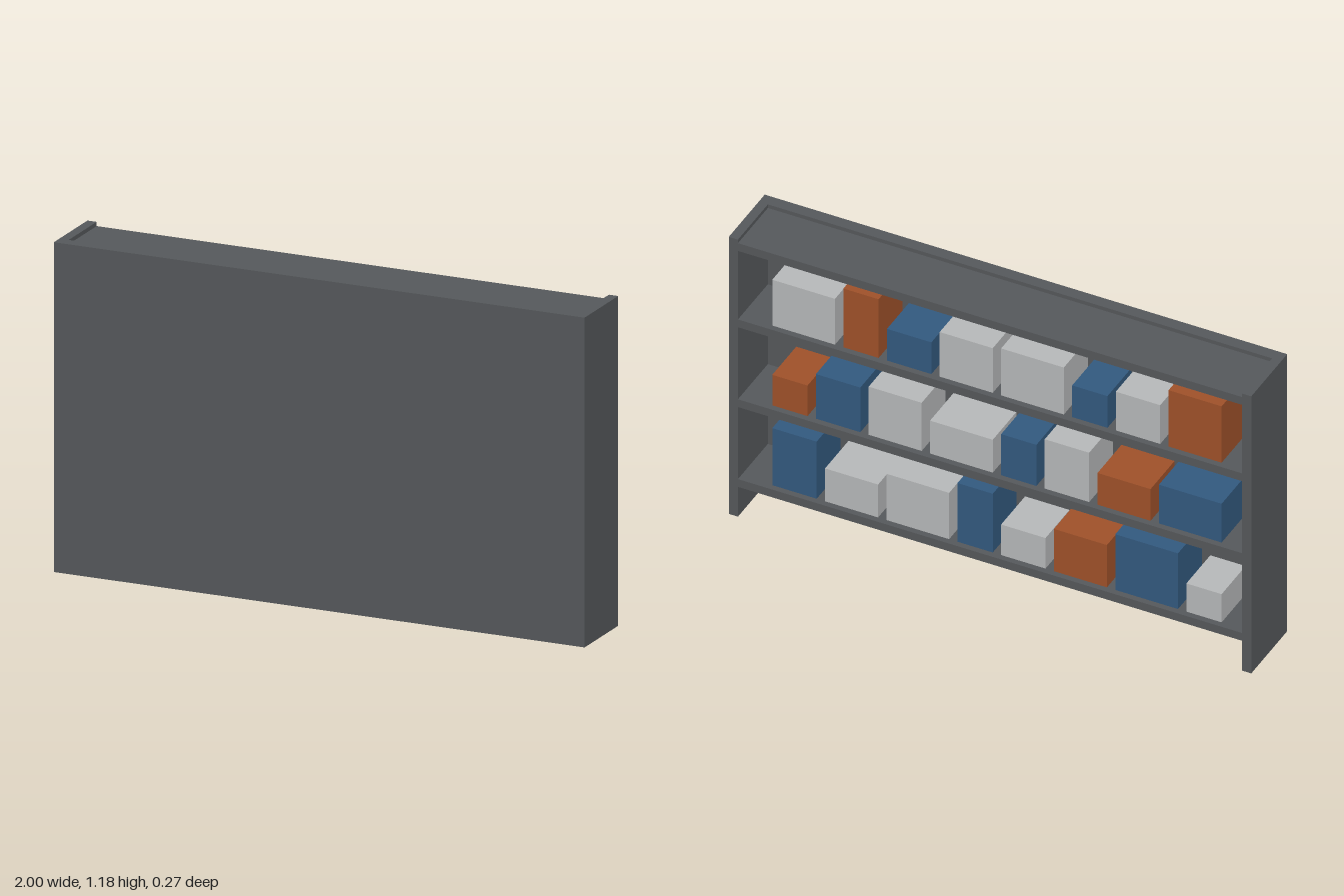
import * as THREE from 'three';

const material = (name, color) => {
  const m = new THREE.MeshStandardMaterial({ color });
  m.name = name;
  return m;
};

export function createModel() {
  const model = new THREE.Group();
  model.name = 'shelfUnit';
  const frame = material('frameGrey', 0x56595c);
  const boxColors = {
    w: material('boxLightGrey', 0xb8babb),
    o: material('boxOrange', 0xa0522a),
    b: material('boxBlue', 0x335a80),
  };

  // Axis-aligned block given by its centre in x and z and its bottom in y
  const block = (name, mat, w, h, d, x, y, z, parent = model) => {
    const mesh = new THREE.Mesh(new THREE.BoxGeometry(w, h, d), mat);
    mesh.name = name;
    mesh.position.set(x, y + h / 2, z);
    parent.add(mesh);
  };

  const height = 1.18, depth = 0.27, side = 0.035, panel = 0.045;
  const innerWidth = 2 - 2 * side;
  const innerDepth = depth - panel;
  const innerZ = -panel / 2;
  const thickness = 0.033;

  // Carcass: full panel at the front, open towards the back
  block('panel', frame, innerWidth, height, panel, 0, 0, depth / 2 - panel / 2);
  for (const s of [-1, 1]) {
    block(s > 0 ? 'leftSide' : 'rightSide', frame, side, height, depth, s * (1 - side / 2), 0, 0);
  }
  block('topBoard', frame, innerWidth, thickness, innerDepth, 0, 1.165 - thickness, innerZ);

  // Shelves from the top down, boxes listed from +x to -x: [colour, height]
  const rows = [
    [['w', 0.195], ['o', 0.25], ['b', 0.135], ['w', 0.19], ['w', 0.2], ['b', 0.135], ['w', 0.165], ['o', 0.24]],
    [['o', 0.13], ['b', 0.19], ['w', 0.205], ['w', 0.14], ['b', 0.175], ['w', 0.21], ['o', 0.135], ['b', 0.165]],
    [['b', 0.243], ['w', 0.14], ['w', 0.197], ['b', 0.25], ['w', 0.13], ['o', 0.18], ['b', 0.237], ['w', 0.12]],
  ];
  const widths = [[0.24, 0.135, 0.17, 0.203], [0.135, 0.17, 0.203, 0.24], [0.17, 0.203, 0.24, 0.135]];

  rows.forEach((row, r) => {
    const y = 0.84 - r * 0.34;
    block('shelf', frame, innerWidth, thickness, innerDepth, 0, y - thickness, innerZ);
    const boxes = new THREE.Group();
    boxes.name = 'boxRow';
    model.add(boxes);
    let x = 0.845;
    row.forEach(([color, h], i) => {
      const w = widths[r][i % 4];
      block('box', boxColors[color], w, h, 0.18, x - w / 2, y, innerZ, boxes);
      x -= w + 0.032;
    });
  });

  return model;
}
